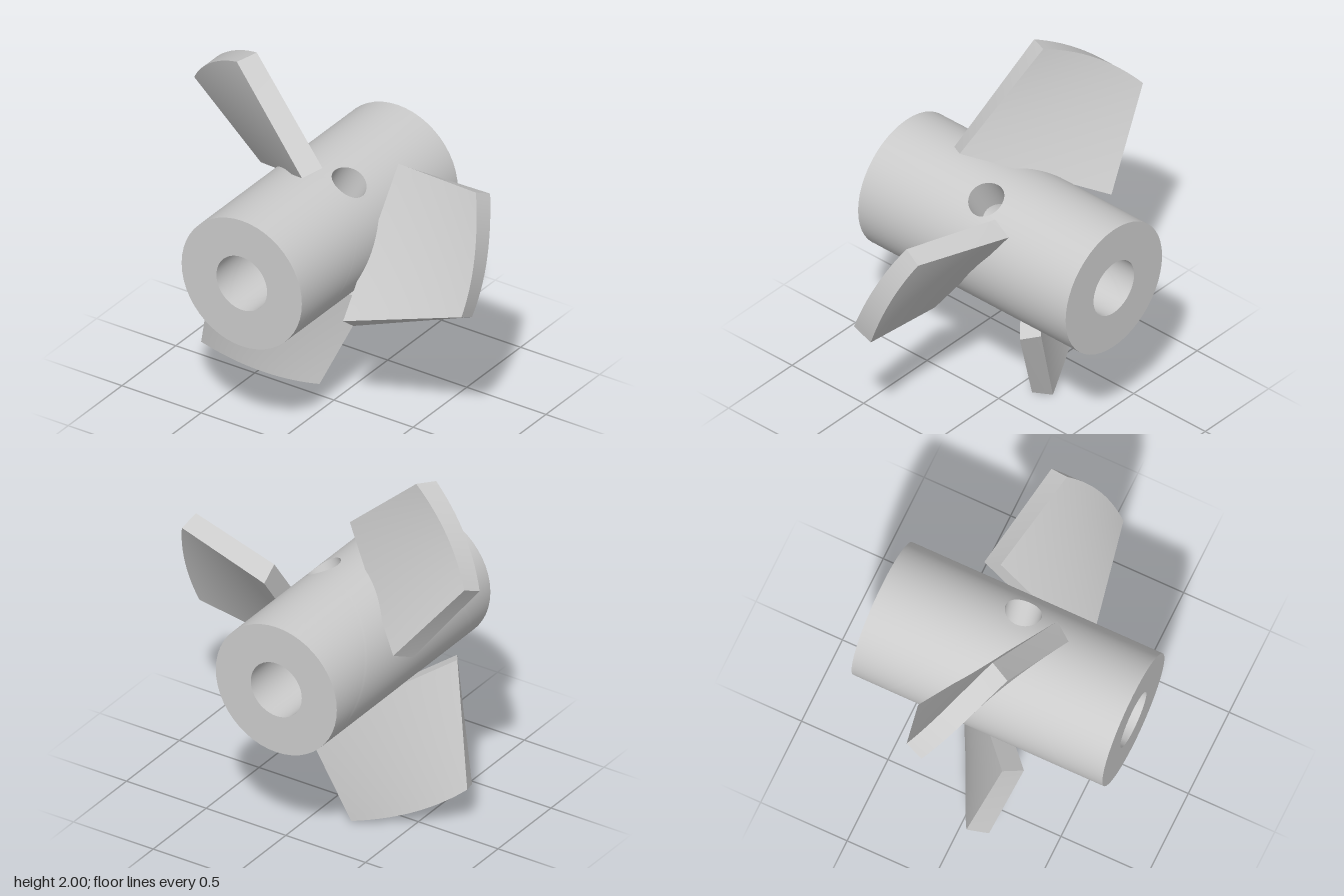
import * as THREE from 'three';
import { mergeVertices, mergeGeometries } from 'three/addons/utils/BufferGeometryUtils.js';

const HUB_R = 0.38, BORE_R = 0.16, HALF = 0.725, HOLE_R = 0.1;
const ROOT = 0.355, TIP = 1.03;
const lerp = THREE.MathUtils.lerp;

// Grid surface from fn(a, b) -> [x, y, z]; faces along da x db
function surface(fn, na, nb) {
  const pos = [], index = [];
  for (let i = 0; i <= na; i++)
    for (let j = 0; j <= nb; j++) pos.push(...fn(i / na, j / nb));
  for (let i = 0; i < na; i++)
    for (let j = 0; j < nb; j++) {
      const p = i * (nb + 1) + j, q = p + nb + 1;
      index.push(p, q, q + 1, p, q + 1, p + 1);
    }
  let g = new THREE.BufferGeometry();
  g.setAttribute('position', new THREE.Float32BufferAttribute(pos, 3));
  g.setIndex(index);
  g = mergeVertices(g, 1e-5);
  g.computeVertexNormals();
  return g;
}

// Point on the outline of a square running from -1 to 1, counter-clockwise
function squarePoint(p) {
  const k = (p % 1) * 4, side = Math.floor(k), f = (k - side) * 2 - 1;
  return [[1, f], [-f, 1], [-1, -f], [f, -1]][side];
}

// Point on the rim of the cross hole where it meets a cylinder of radius r: [angle, z]
function holeRim(r, p) {
  const [sx, sy] = squarePoint(p), phi = Math.atan2(sy, sx);
  return [Math.asin(HOLE_R * Math.cos(phi) / r), HOLE_R * Math.sin(phi)];
}
const onCylinder = (r, a, z) => [r * Math.cos(a), r * Math.sin(a), z];

// Whole cylinder wall, spreading from the hole rim to the unrolled border
function wallPoint(r, p, s) {
  const [sx, sy] = squarePoint(p), [a, z] = holeRim(r, p);
  return onCylinder(r, lerp(a, sx * Math.PI, s), lerp(z, sy * HALF, s));
}

// Blade section corners [z, t] at the root and the tip, with the tip radius along the blade
const corners = [
  [[0.21, -0.39], [0.075, -0.185], 1.013],
  [[0.305, -0.315], [0.185, -0.13], 1.022],
  [[-0.305, 0.32], [-0.195, 0.41], 0.945],
  [[-0.21, 0.39], [-0.095, 0.457], 0.923],
];

// s along the blade, u across its width, w through its thickness
function bladePoint(s, u, w) {
  const section = (x) => [0, 1].map((k) => {
    const c = corners.map(([a, b, end]) => lerp(a[k], b[k], (x - ROOT) / (end - ROOT)));
    return lerp(lerp(c[0], c[1], w), lerp(c[2], c[3], w), u);
  });
  // trim the tip on a cylinder around the hub axis
  let end = 1;
  for (let i = 0; i < 8; i++) end = Math.sqrt(TIP * TIP - section(end)[1] ** 2);
  const x = lerp(ROOT, end, s), [z, t] = section(x);
  return [x, t, z];
}

function bladeGeometry() {
  return mergeGeometries([
    surface((a, b) => bladePoint(a, b, 1), 16, 20), // front
    surface((a, b) => bladePoint(b, a, 0), 20, 16), // back
    surface((a, b) => bladePoint(b, 1, a), 1, 16), // side edges
    surface((a, b) => bladePoint(a, 0, b), 16, 1),
    surface((a, b) => bladePoint(1, a, b), 20, 1), // tip
    surface((a, b) => bladePoint(0, b, a), 1, 20), // root
  ]);
}

export function createModel() {
  const model = new THREE.Group();
  model.name = 'propeller';
  model.position.set(-0.09, 1.03, 0);
  const material = new THREE.MeshStandardMaterial({ color: 0xcccccc });
  const add = (parent, name, geometry) => {
    const mesh = new THREE.Mesh(geometry, material);
    mesh.name = name;
    parent.add(mesh);
    return mesh;
  };

  // Hub with a bore and one cross hole, turned so the hole sits between two blades
  const hub = new THREE.Group();
  hub.name = 'hub';
  hub.rotation.z = Math.PI / 3;
  model.add(hub);
  add(hub, 'hubWall', surface((s, p) => wallPoint(HUB_R, p, s), 40, 192));
  add(hub, 'bore', surface((p, s) => wallPoint(BORE_R, p, s), 192, 40));
  add(hub, 'crossHole', surface((s, p) => {
    const [a, z] = holeRim(BORE_R, p), [b, y] = holeRim(HUB_R, p);
    const inner = onCylinder(BORE_R, a, z), outer = onCylinder(HUB_R, b, y);
    return inner.map((v, i) => lerp(v, outer[i], s));
  }, 1, 192));
  for (const side of [1, -1]) {
    const cap = add(hub, side > 0 ? 'frontCap' : 'backCap', new THREE.RingGeometry(BORE_R, HUB_R, 48));
    cap.position.z = side * HALF;
    if (side < 0) cap.rotation.y = Math.PI;
  }

  // Three twisted blades
  const blade = bladeGeometry();
  for (let i = 0; i < 3; i++) add(model, 'blade' + (i + 1), blade).rotation.z = i * Math.PI * 2 / 3;
  return model;
}
